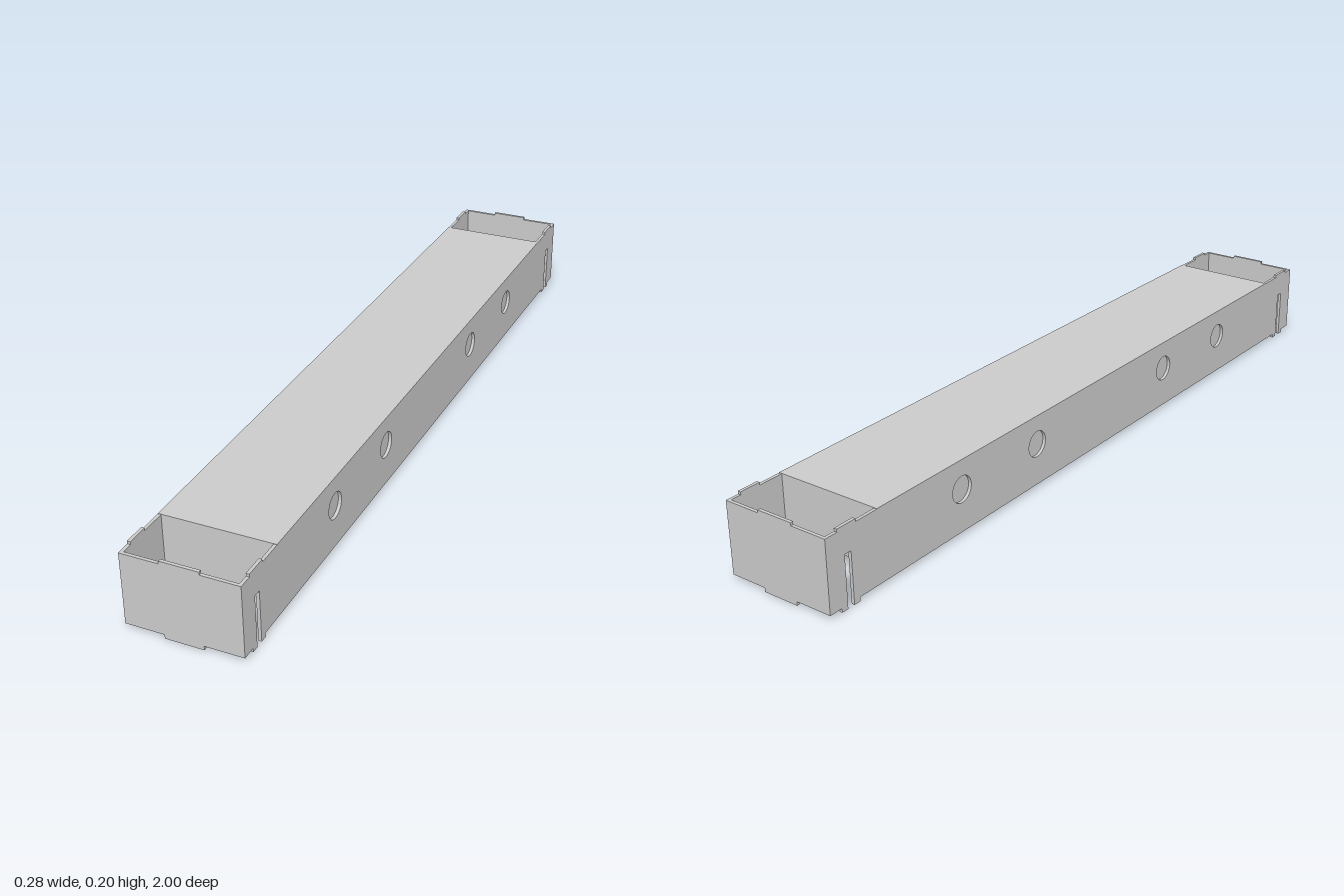
import * as THREE from 'three';

const T = 0.008;               // sheet thickness
const HALF_W = 0.142, HALF_L = 1;
const LOW = 0.01, HIGH = 0.19, TOP = 0.197;
const HOLES = [-0.567, -0.283, 0.283, 0.567];

const material = new THREE.MeshStandardMaterial({ color: 0xcccccc, side: THREE.DoubleSide });

function add(group, name, geometry, x, y, z) {
  const mesh = new THREE.Mesh(geometry, material);
  mesh.name = name;
  mesh.position.set(x, y, z);
  group.add(mesh);
}

// Sheet outline from its right half, mirrored to the left, with round holes
function sheet(half, holes = []) {
  const mirrored = half.map(([x, y]) => [-x, y]).reverse();
  const shape = new THREE.Shape([...half, ...mirrored].map(([x, y]) => new THREE.Vector2(x, y)));
  for (const [x, y, r] of holes) {
    const hole = new THREE.Path();
    hole.absarc(x, y, r, 0, Math.PI * 2, true);
    shape.holes.push(hole);
  }
  const geometry = new THREE.ExtrudeGeometry(shape, { depth: T, bevelEnabled: false, curveSegments: 24 });
  return geometry.translate(0, 0, -T / 2);
}

export function createModel() {
  const model = new THREE.Group();
  model.name = 'slottedBeam';

  // Long side walls: tabs and a tall slot near each end, four round holes
  const wall = sheet([
    [0.91, LOW], [0.91, 0], [0.928, 0], [0.928, 0.13], [0.947, 0.13], [0.947, 0], [0.965, 0],
    [0.965, LOW], [HALF_L, LOW], [HALF_L, HIGH], [0.965, HIGH], [0.965, TOP], [0.91, TOP], [0.91, HIGH],
  ], HOLES.map((z) => [z, 0.117, 0.033])).rotateY(-Math.PI / 2);

  // End panels with a centred tab above and below
  const end = sheet([
    [0.047, 0], [0.047, LOW], [HALF_W - T, LOW], [HALF_W - T, HIGH], [0.047, HIGH], [0.047, TOP],
  ]);

  for (const s of [-1, 1]) {
    add(model, s > 0 ? 'leftWall' : 'rightWall', wall, s * (HALF_W - T / 2), 0, 0);
    add(model, s > 0 ? 'frontPanel' : 'backPanel', end, 0, 0, s * (HALF_L - T / 2));
  }

  // Closed core between the walls
  const coreLow = 0.045 + T, coreW = HALF_W - T, coreL = 0.845;
  add(model, 'core', new THREE.BoxGeometry(coreW * 2, HIGH - coreLow, coreL * 2),
    0, (HIGH + coreLow) / 2, 0);

  // Bottom sheet of the core with four larger round holes
  const bottom = sheet([[coreW, -coreL], [coreW, coreL]], HOLES.map((z) => [0, z, 0.044]))
    .rotateX(Math.PI / 2);
  add(model, 'bottomSheet', bottom, 0, coreLow - T / 2, 0);

  // Flush cover sheet closing the top out to the wall faces
  add(model, 'topSheet', new THREE.BoxGeometry(HALF_W * 2, 0.001, coreL * 2), 0, HIGH + 0.0005, 0);

  return model;
}
